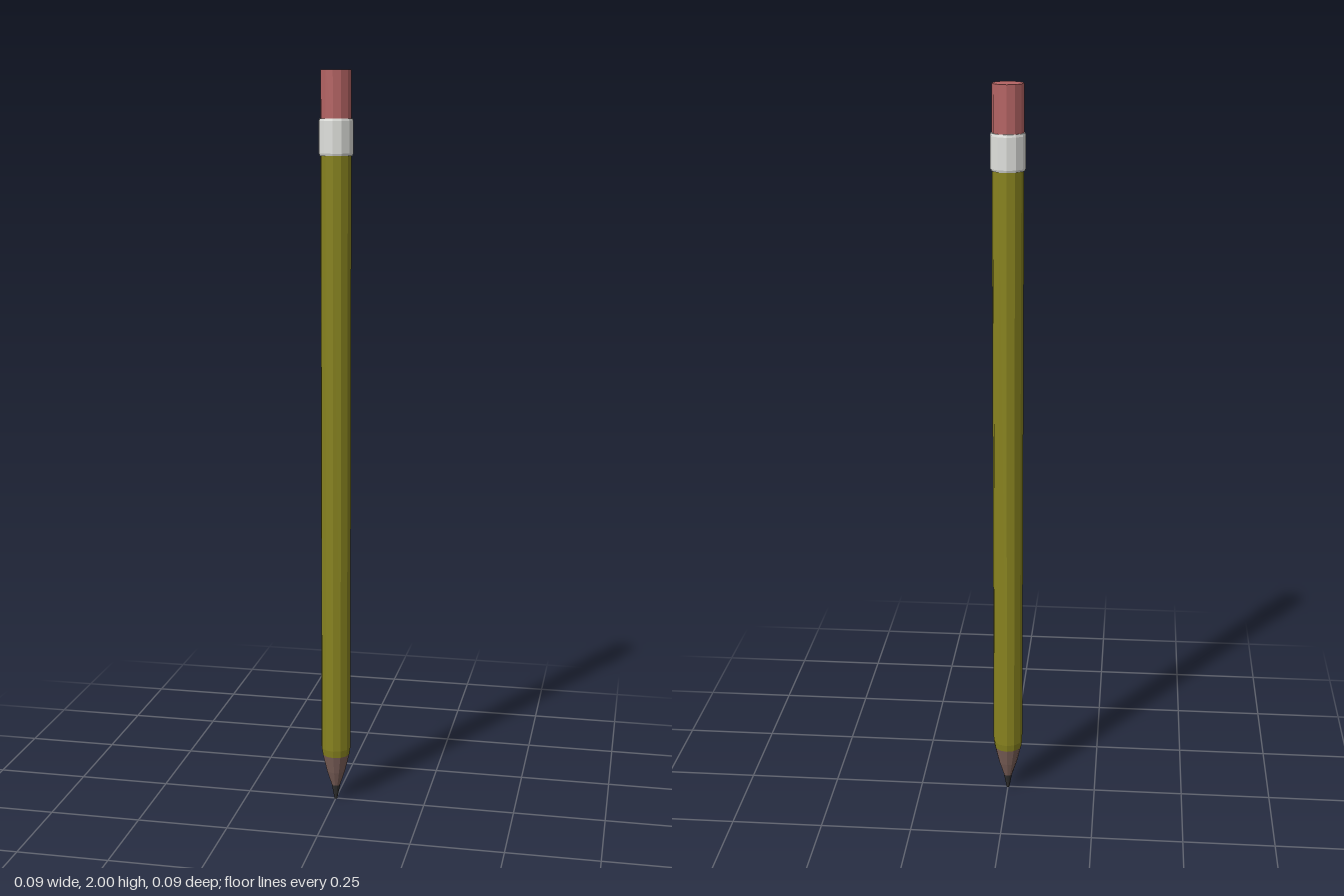
import * as THREE from 'three';

const SIDES = 12;

function material(name, color) {
  const m = new THREE.MeshStandardMaterial({ color, flatShading: true });
  m.name = name;
  return m;
}

// Twelve-sided turned part from [radius, height] points, listed bottom to top
function turned(name, points, mat) {
  const profile = points.map(([r, y]) => new THREE.Vector2(r, y));
  const mesh = new THREE.Mesh(new THREE.LatheGeometry(profile, SIDES), mat);
  mesh.name = name;
  return mesh;
}

export function createModel() {
  const paint = material('olive paint', 0x88831f);
  const wood = material('bare wood', 0x7d615a);
  const graphite = material('graphite', 0x303030);
  const metal = material('pale metal', 0xe0e1dd);
  const rubber = material('pink rubber', 0xb56464);

  const pencil = new THREE.Group();
  pencil.name = 'pencil';
  pencil.add(
    // Sharpened end
    turned('leadTip', [[0, 0], [0.004, 0], [0.012, 0.042]], graphite),
    turned('sharpenedWood', [[0.012, 0.042], [0.026, 0.085], [0.038, 0.135]], wood),
    // Painted shaft, slightly drawn in at its lower edge
    turned('shaft', [[0.038, 0.135], [0.041, 0.155], [0.041, 1.79]], paint),
    // Metal band with small bevels
    turned('ferrule', [[0.04, 1.783], [0.044, 1.783], [0.046, 1.789], [0.046, 1.871], [0.044, 1.878], [0.04, 1.878]], metal),
    turned('eraser', [[0.041, 1.87], [0.041, 2], [0, 2]], rubber)
  );
  return pencil;
}
